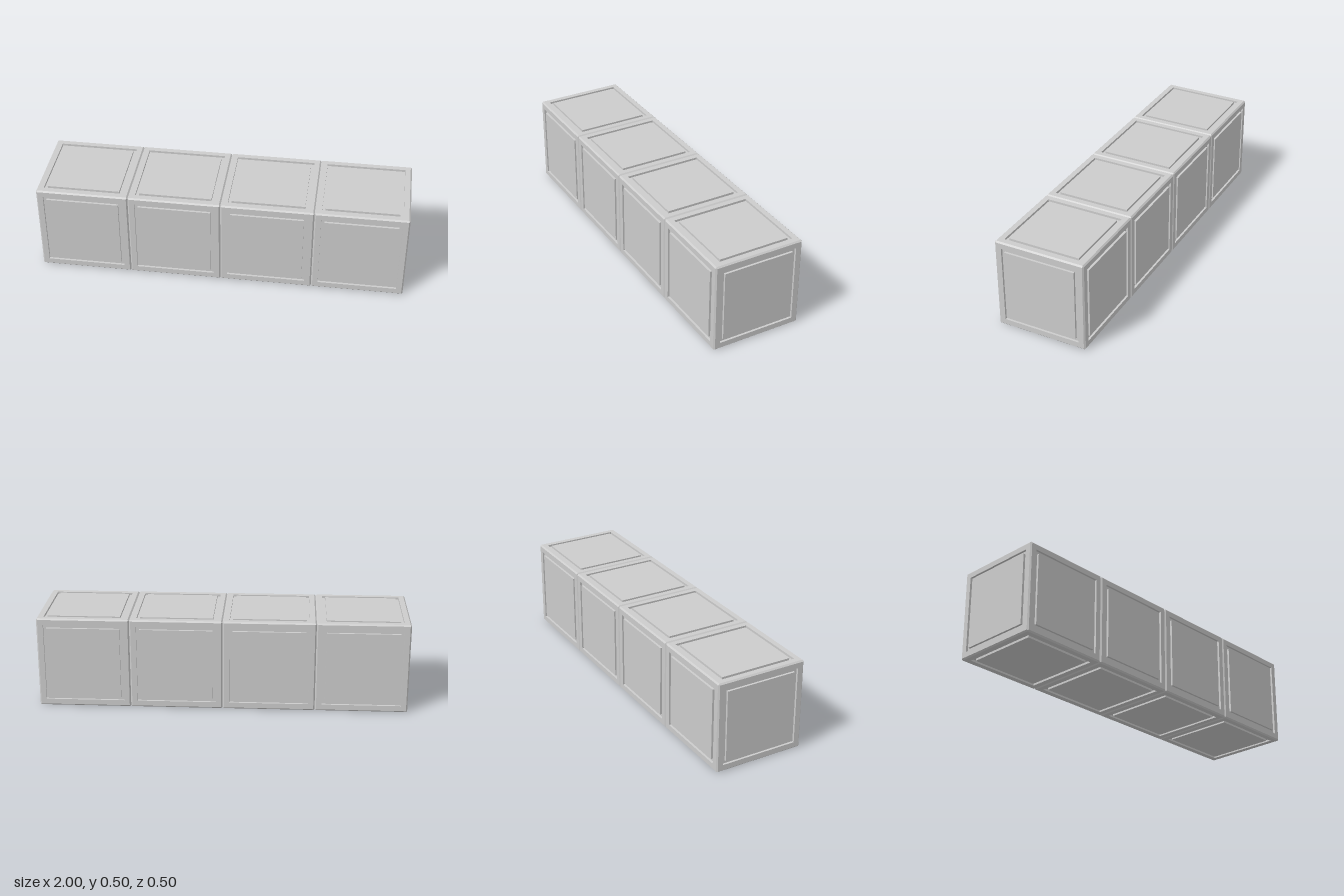
import * as THREE from 'three';
import { mergeGeometries } from 'three/addons/utils/BufferGeometryUtils.js';

const HALF = 0.25;      // half the side of a block
const BEVEL = 0.0075;   // chamfer along the block edges
const DEPTH = 0.012;    // depth of the groove around each panel

// One face of a block: half chamfer, frame, square groove and centre panel.
// A four-sided lathe turns the profile [half width, height] into square rings.
function faceGeometry() {
  const profile = [
    [HALF - BEVEL / 2, HALF - BEVEL / 2],
    [HALF - BEVEL, HALF],
    [0.2135, HALF],
    [0.2135, HALF - DEPTH],
    [0.1965, HALF - DEPTH],
    [0.1965, HALF],
    [0, HALF],
  ].map(([w, h]) => new THREE.Vector2(w * Math.SQRT2, h));
  const geometry = new THREE.LatheGeometry(profile, 4, Math.PI / 4).toNonIndexed();
  geometry.computeVertexNormals();
  return geometry;
}

// Six copies of the face close the block
function blockGeometry() {
  const face = faceGeometry();
  const q = Math.PI / 2;
  const turns = [[0, 0], [q, 0], [2 * q, 0], [-q, 0], [0, q], [0, -q]];
  return mergeGeometries(turns.map(([x, z]) => face.clone().rotateX(x).rotateZ(z)));
}

export function createModel() {
  const model = new THREE.Group();
  model.name = 'blockRow';
  const material = new THREE.MeshStandardMaterial({ color: 0xcccccc, flatShading: true });
  const geometry = blockGeometry();

  // Four equal blocks side by side
  for (let i = 0; i < 4; i++) {
    const block = new THREE.Mesh(geometry, material);
    block.name = `panelledBlock${i + 1}`;
    block.position.set((i - 1.5) * 2 * HALF, HALF, 0);
    model.add(block);
  }
  return model;
}
